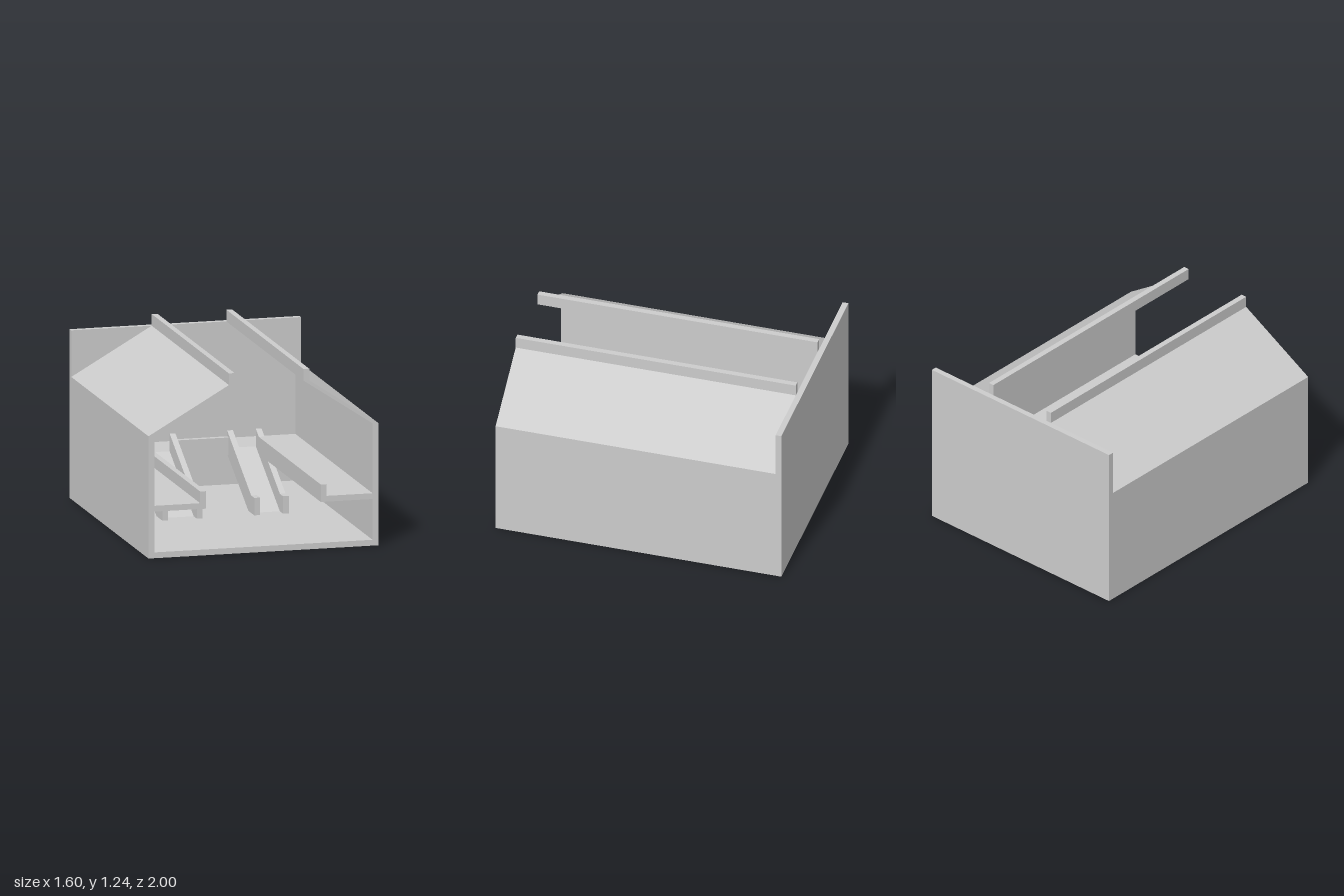
import * as THREE from 'three';

const grey = new THREE.MeshStandardMaterial({ color: 0xcccccc });
grey.name = 'plainGrey';

const FRONT = 1, BACK = -0.96, T = 0.04;
const STAIR_TOP = -0.65, STAIR_FOOT = -0.04;

function polygon(points) {
  return new THREE.Shape(points.map(([a, b]) => new THREE.Vector2(a, b)));
}

// Cross-section in x/y, swept along z from the back wall to the front
function alongZ(name, points, z0 = BACK, z1 = FRONT) {
  const geo = new THREE.ExtrudeGeometry(polygon(points), { depth: z1 - z0, bevelEnabled: false });
  geo.translate(0, 0, z0);
  const mesh = new THREE.Mesh(geo, grey);
  mesh.name = name;
  return mesh;
}

// Side profile in z/y, swept across x
function alongX(name, points, x0, x1) {
  const shape = polygon(points.map(([z, y]) => [-z, y]));
  const geo = new THREE.ExtrudeGeometry(shape, { depth: x1 - x0, bevelEnabled: false });
  geo.rotateY(Math.PI / 2);
  geo.translate(x0, 0, 0);
  const mesh = new THREE.Mesh(geo, grey);
  mesh.name = name;
  return mesh;
}

function box(name, x0, x1, y0, y1, z0, z1) {
  const mesh = new THREE.Mesh(new THREE.BoxGeometry(x1 - x0, y1 - y0, z1 - z0), grey);
  mesh.position.set((x0 + x1) / 2, (y0 + y1) / 2, (z0 + z1) / 2);
  mesh.name = name;
  return mesh;
}

// Ramp between two sloping side rails
function staircase(name, x0, x1) {
  const group = new THREE.Group();
  group.name = name;
  const rail = [
    [0.04, 0.04], [0.04, 0.16], [STAIR_FOOT, 0.16],
    [STAIR_TOP, 0.48], [STAIR_TOP, 0.32], [-0.11, 0.04],
  ];
  const ramp = [[STAIR_FOOT, 0.04], [STAIR_TOP, 0.36], [STAIR_TOP, 0.32], [-0.11, 0.04]];
  group.add(
    alongX('outerRail', rail, x0, x0 + T),
    alongX('innerRail', rail, x1 - T, x1),
    alongX('ramp', ramp, x0 + T, x1 - T),
  );
  return group;
}

export function createModel() {
  const model = new THREE.Group();
  model.name = 'openHall';

  // Floor, side walls, sloping roofs and roof kerbs share one open section
  model.add(alongZ('shell', [
    [-0.8, 0], [0.8, 0], [0.8, 0.84], [0.32, 1.16], [0.32, 1.24], [0.28, 1.24],
    [0.28, 1.16], [0.76, 0.84], [0.76, 0.04], [-0.76, 0.04], [-0.76, 0.84],
    [-0.2, 1.16], [-0.2, 1.24], [-0.24, 1.24], [-0.24, 1.16], [-0.8, 0.84],
  ]));
  model.add(box('backWall', -0.8, 0.8, 0, 1.16, -1, BACK));

  // Side galleries with a raised edge, stopping at the rear landing
  for (const s of [-1, 1]) {
    model.add(alongZ(s < 0 ? 'rightGallery' : 'leftGallery', [
      [s * 0.76, 0.32], [s * 0.4, 0.32], [s * 0.4, 0.44],
      [s * 0.44, 0.44], [s * 0.44, 0.36], [s * 0.76, 0.36],
    ], STAIR_TOP, FRONT));
  }

  // Rear landing and the parapet between the stairs
  model.add(box('rearLanding', -0.76, 0.76, 0.32, 0.36, BACK, STAIR_TOP));
  model.add(box('landingParapet', -0.16, 0.2, 0.32, 0.44, STAIR_TOP, STAIR_TOP + T));

  model.add(staircase('rightStaircase', -0.44, -0.16));
  model.add(staircase('leftStaircase', 0.2, 0.44));
  return model;
}
